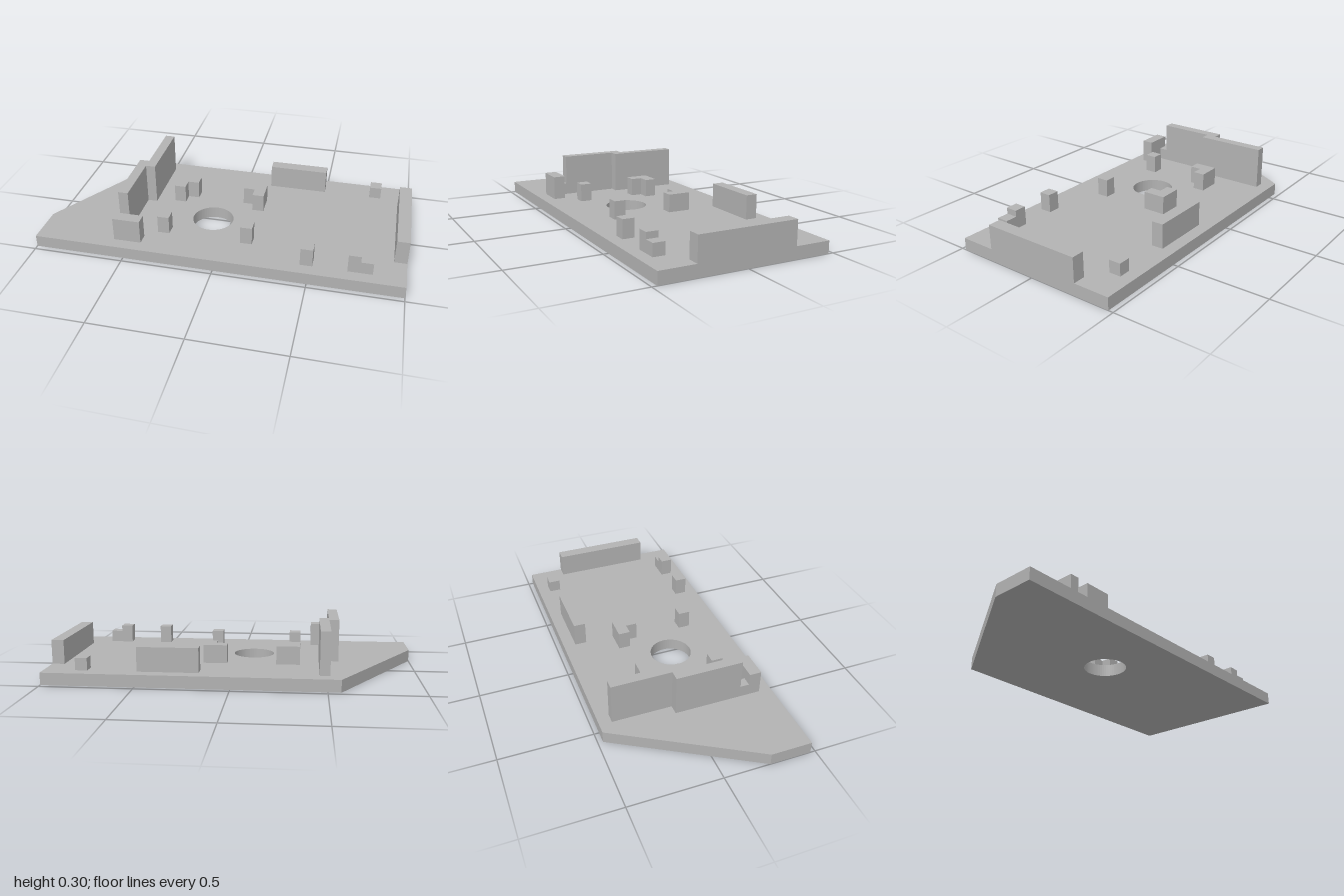
import * as THREE from 'three';

export function createModel() {
  const model = new THREE.Group();
  const grey = new THREE.MeshStandardMaterial({ color: 0xb2b2b2 });
  grey.name = 'plainGrey';
  const plateTop = 0.067;

  // Base plate with one slanted corner and a round hole
  const outline = new THREE.Shape([
    [-1, -0.473], [1, -0.473], [1, 0.473], [-0.568, 0.473], [-1, -0.25],
  ].map(([x, y]) => new THREE.Vector2(x, y)));
  const hole = new THREE.Path();
  hole.absarc(-0.088, -0.088, 0.115, 0, Math.PI * 2, true);
  outline.holes.push(hole);
  const plateGeometry = new THREE.ExtrudeGeometry(outline, {
    depth: plateTop, bevelEnabled: false, curveSegments: 32,
  });
  plateGeometry.rotateX(-Math.PI / 2);
  const plate = new THREE.Mesh(plateGeometry, grey);
  plate.name = 'basePlate';
  model.add(plate);

  // Block standing on the plate, given by its extents
  function block(name, x0, x1, z0, z1, top, parent = model) {
    const mesh = new THREE.Mesh(new THREE.BoxGeometry(x1 - x0, top - plateTop, z1 - z0), grey);
    mesh.position.set((x0 + x1) / 2, (top + plateTop) / 2, (z0 + z1) / 2);
    mesh.name = name;
    parent.add(mesh);
  }

  // Tall stepped wall and its low link to the front block
  block('tallWallBack', -0.513, -0.459, -0.405, -0.018, 0.3);
  block('tallWallFront', -0.568, -0.513, -0.077, 0.29, 0.3);
  block('lowLink', -0.568, -0.513, 0.29, 0.34, 0.134);
  block('frontBlock', -0.568, -0.417, 0.34, 0.405, 0.2);

  // Side wall and back blocks
  block('sideWall', 0.932, 1, -0.274, 0.274, 0.2);
  block('backBlock', 0.17, 0.499, -0.405, -0.34, 0.2);
  block('backPeg', 0.765, 0.83, -0.405, -0.34, 0.134);

  // Front pegs, the last pair stepped
  block('frontPeg', 0.453, 0.519, 0.34, 0.405, 0.168);
  block('stepPegHigh', 0.7, 0.765, 0.34, 0.405, 0.168);
  block('stepPegLow', 0.765, 0.83, 0.34, 0.405, 0.134);

  // Supports around the hole: L brackets behind, square posts in front
  for (const side of [-1, 1]) {
    const at = (a, b) => [-0.09 + side * a, -0.09 + side * b].sort((p, q) => p - q);
    const bracket = new THREE.Group();
    bracket.name = side < 0 ? 'rightBracket' : 'leftBracket';
    block('bracketBack', ...at(0.136, 0.265), -0.177, -0.112, 0.168, bracket);
    block('bracketLeg', ...at(0.2, 0.265), -0.112, -0.05, 0.168, bracket);
    model.add(bracket);
    block('post', ...at(0.2, 0.265), 0.22, 0.285, 0.168);
  }
  return model;
}
